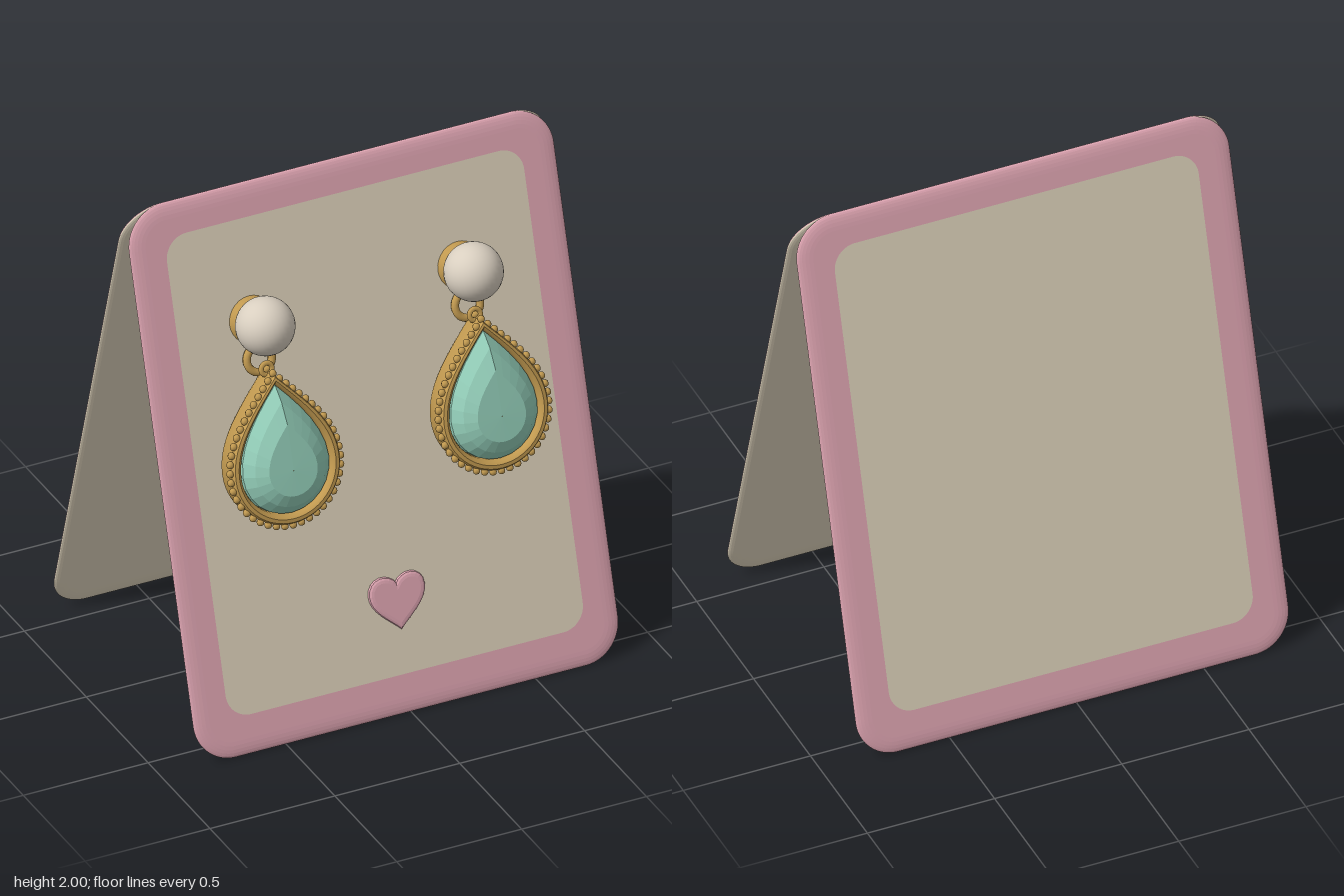
import * as THREE from 'three';
import { toCreasedNormals } from 'three/addons/utils/BufferGeometryUtils.js';

const mat = (name, color, side = THREE.FrontSide) => {
  const m = new THREE.MeshStandardMaterial({ color, side });
  m.name = name;
  return m;
};

const TILT = 0.293;      // lean of each card panel
const DROP_Y = -1.033;   // centre of the teardrop, measured down the panel
const STUD_Y = -0.504;

function add(parent, name, geo, material, x = 0, y = 0, z = 0) {
  const m = new THREE.Mesh(geo, material);
  m.name = name;
  m.position.set(x, y, z);
  parent.add(m);
  return m;
}

function roundedRect(w, top, bottom, r) {
  const s = new THREE.Shape();
  s.absarc(w - r, top - r, r, 0, Math.PI / 2);
  s.absarc(-w + r, top - r, r, Math.PI / 2, Math.PI);
  s.absarc(-w + r, bottom + r, r, Math.PI, Math.PI * 1.5);
  s.absarc(w - r, bottom + r, r, Math.PI * 1.5, Math.PI * 2);
  s.closePath();
  return s;
}

// Teardrop outline of radius r, running clockwise from the tip
function dropPath(r) {
  const h = Math.min(0.9 * r + 0.155, 1.8 * r);
  const p = new THREE.Path();
  p.moveTo(0, h);
  p.bezierCurveTo(0.55 * r, h - 0.6 * r, r, 0.62 * r, r, 0);
  p.absarc(0, 0, r, 0, -Math.PI, true);
  p.bezierCurveTo(-r, 0.62 * r, -0.55 * r, h - 0.6 * r, 0, h);
  return p;
}

// Skin over teardrop rings given as [radius, z], back to front
function loftDrop(profile, n) {
  const rings = profile.map(([r, z]) =>
    dropPath(r).getPoints(n).map((p) => [p.x, p.y, z]));
  const pos = [];
  for (let i = 0; i < rings.length - 1; i++) {
    for (let j = 0; j < rings[i].length - 1; j++) {
      const a = rings[i][j], b = rings[i][j + 1];
      const c = rings[i + 1][j], d = rings[i + 1][j + 1];
      pos.push(...a, ...c, ...b, ...b, ...c, ...d);
    }
  }
  const g = new THREE.BufferGeometry();
  g.setAttribute('position', new THREE.Float32BufferAttribute(pos, 3));
  g.computeVertexNormals();
  return g;
}

// Keeps the triangles on one side of z = 0
function halfOf(geo, sign) {
  const src = geo.attributes.position.array, pos = [];
  for (let i = 0; i < src.length; i += 9) {
    const z = src[i + 2] + src[i + 5] + src[i + 8];
    if ((z >= 0 ? 1 : -1) === sign) pos.push(...src.slice(i, i + 9));
  }
  const g = new THREE.BufferGeometry();
  g.setAttribute('position', new THREE.Float32BufferAttribute(pos, 3));
  g.computeVertexNormals();
  return g;
}

export function createModel() {
  const cream = mat('cream card', 0xdcd1ba);
  const pink = mat('pink', 0xdfa5b2);
  const gold = mat('gold', 0xc29a50);
  const teal = mat('teal gem', 0x92ccb7);
  const pearlMat = mat('pearl', 0xd9cfc0);
  const model = new THREE.Group();
  model.name = 'earringDisplay';

  // Card panel with thin rounded edges: pink outside, cream inside
  const slab = new THREE.ExtrudeGeometry(roundedRect(0.79, -0.06, -2.03, 0.09), {
    depth: 0.002, bevelThickness: 0.012, bevelSize: 0.06, bevelSegments: 6, curveSegments: 10,
  }).toNonIndexed === undefined ? null : new THREE.ExtrudeGeometry(roundedRect(0.79, -0.06, -2.03, 0.09), {
    depth: 0.002, bevelThickness: 0.012, bevelSize: 0.06, bevelSegments: 6, curveSegments: 10,
  });
  const outside = halfOf(slab, 1), inside = halfOf(slab, -1);
  const field = new THREE.ShapeGeometry(roundedRect(0.715, -0.125, -1.943, 0.09), 10);

  const panels = ['frontPanel', 'backPanel'].map((name, i) => {
    const turn = new THREE.Group();
    turn.name = name;
    turn.rotation.y = i * Math.PI;
    turn.position.y = 2;
    const panel = new THREE.Group();
    panel.name = name + 'Tilt';
    panel.rotation.x = -TILT;
    add(panel, 'panelBorder', outside, pink);
    add(panel, 'panelInside', inside, cream);
    add(panel, 'panelField', field, cream, 0, 0, 0.0165);
    turn.add(panel);
    model.add(turn);
    return panel;
  });
  const front = panels[0];

  // Heart badge
  const heart = new THREE.Shape();
  heart.moveTo(0, -0.1);
  heart.bezierCurveTo(0.04, -0.06, 0.105, -0.02, 0.105, 0.035);
  heart.bezierCurveTo(0.105, 0.1, 0.025, 0.105, 0, 0.055);
  heart.bezierCurveTo(-0.025, 0.105, -0.105, 0.1, -0.105, 0.035);
  heart.bezierCurveTo(-0.105, -0.02, -0.04, -0.06, 0, -0.1);
  const heartGeo = new THREE.ExtrudeGeometry(heart, {
    depth: 0.008, bevelThickness: 0.01, bevelSize: 0.02, bevelOffset: -0.012, bevelSegments: 3, curveSegments: 8,
  });
  add(front, 'heart', heartGeo, pink, 0, -1.665, 0.012);

  // Shared earring geometry
  const bezelGeo = toCreasedNormals(loftDrop([
    [0.001, 0.035], [0.202, 0.035], [0.21, 0.05], [0.212, 0.13], [0.213, 0.147], [0.206, 0.158],
    [0.192, 0.16], [0.181, 0.152], [0.176, 0.138], [0.174, 0.115], [0.001, 0.115],
  ], 14), 0.7);
  const gemGeo = loftDrop([[0.174, 0.116], [0.172, 0.145], [0.14, 0.184], [0.096, 0.21], [0.001, 0.212]], 6);
  const beadGeo = new THREE.SphereGeometry(0.0145, 8, 6);
  const beadSpots = dropPath(0.219).getSpacedPoints(46).slice(0, -1);
  const pearlGeo = new THREE.SphereGeometry(0.109, 32, 20);
  const clutchGeo = new THREE.LatheGeometry([
    [0, -0.045], [0.03, -0.042], [0.11, -0.022], [0.108, -0.012], [0.07, 0.045], [0.062, 0.058], [0, 0.058],
  ].map(([r, y]) => new THREE.Vector2(r, y)), 28).rotateX(Math.PI / 2);
  const postGeo = new THREE.CylinderGeometry(0.012, 0.012, 0.31, 12).rotateX(Math.PI / 2);
  const postTipGeo = new THREE.SphereGeometry(0.012, 12, 8);
  const loopGeo = new THREE.TorusGeometry(0.05, 0.015, 10, 28);
  const bailGeo = new THREE.TorusGeometry(0.022, 0.01, 8, 20);

  for (const [side, x] of [['left', 0.417], ['right', -0.417]]) {
    const ear = new THREE.Group();
    ear.name = side + 'Earring';
    ear.position.x = x;
    front.add(ear);
    add(ear, 'pearl', pearlGeo, pearlMat, 0, STUD_Y, 0.13);
    add(ear, 'clutch', clutchGeo, gold, 0, STUD_Y, 0);
    add(ear, 'post', postGeo, gold, 0, STUD_Y, -0.055);
    add(ear, 'postTip', postTipGeo, gold, 0, STUD_Y, -0.21);
    add(ear, 'loop', loopGeo, gold, 0, -0.648, 0.036);
    add(ear, 'bail', bailGeo, gold, 0, -0.675, 0.09);
    add(ear, 'bezel', bezelGeo, gold, 0, DROP_Y, 0);
    add(ear, 'gem', gemGeo, teal, 0, DROP_Y, 0);
    // Beaded edge around the bezel
    const beads = new THREE.Group();
    beads.name = 'beads';
    beads.position.set(0, DROP_Y, 0.14);
    for (const p of beadSpots) add(beads, 'bead', beadGeo, gold, p.x, p.y, 0);
    ear.add(beads);
  }
  return model;
}
